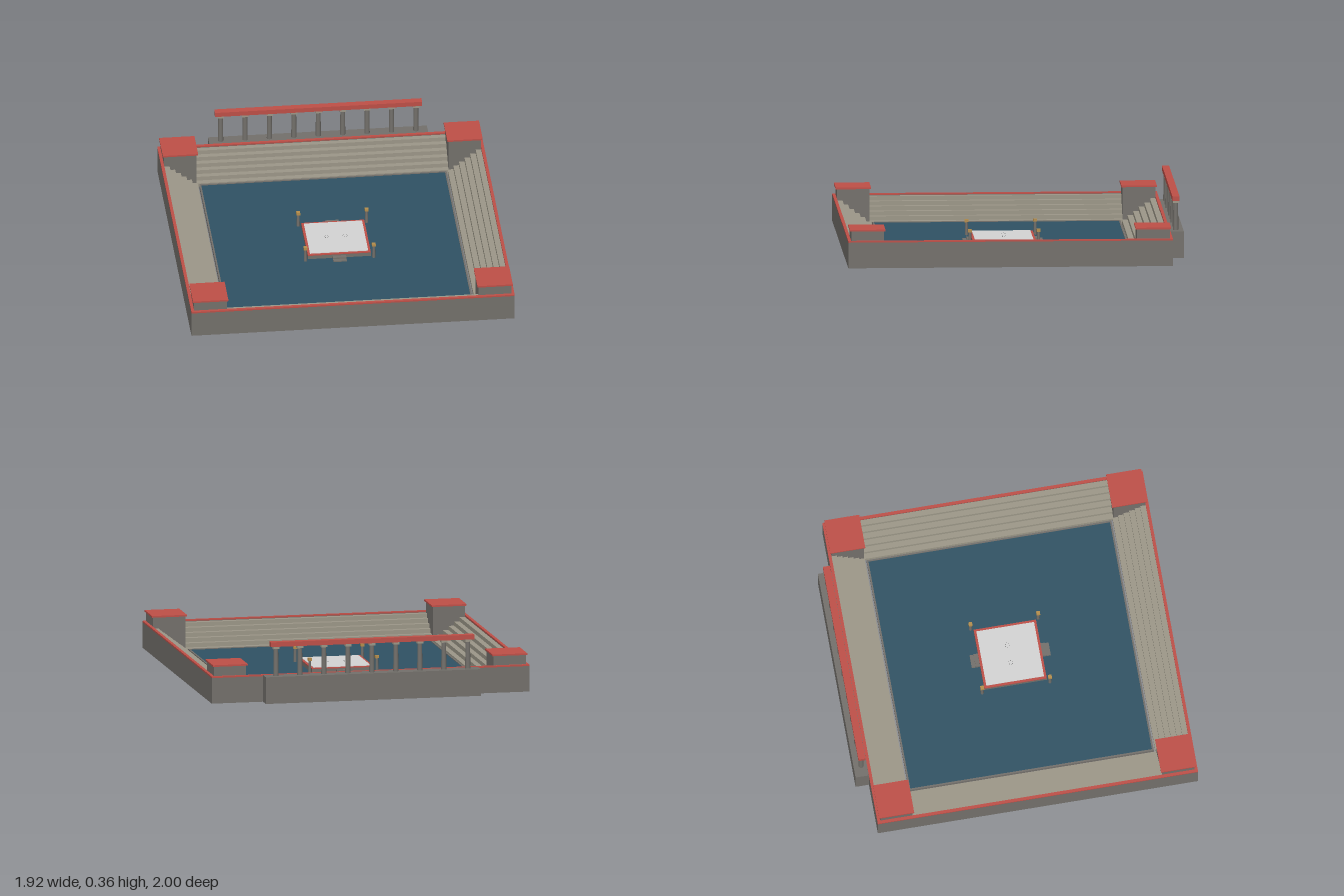
import * as THREE from 'three';

const mat = (name, color) => {
  const m = new THREE.MeshStandardMaterial({ color });
  m.name = name;
  return m;
};

export function createModel() {
  const stone = mat('grey stone', 0x73706b);
  const seat = mat('seat stone', 0x9c9788);
  const red = mat('red trim', 0xbe4f47);
  const water = mat('blue floor', 0x2f5264);
  const white = mat('white tiles', 0xd4d4d4);
  const gold = mat('gold', 0xb58e4c);
  const dark = mat('dark marks', 0x4a4a4a);

  const model = new THREE.Group();
  model.name = 'arena';

  // Box given by its minimum and maximum corners
  const box = (parent, name, m, x0, x1, y0, y1, z0, z1) => {
    const mesh = new THREE.Mesh(new THREE.BoxGeometry(x1 - x0, y1 - y0, z1 - z0), m);
    mesh.position.set((x0 + x1) / 2, (y0 + y1) / 2, (z0 + z1) / 2);
    mesh.name = name;
    parent.add(mesh);
    return mesh;
  };
  const cylinder = (parent, name, m, rTop, rBottom, y0, y1, x, z, sides) => {
    const mesh = new THREE.Mesh(new THREE.CylinderGeometry(rTop, rBottom, y1 - y0, sides), m);
    mesh.position.set(x, (y0 + y1) / 2, z);
    mesh.name = name;
    parent.add(mesh);
    return mesh;
  };

  // The square bowl sits slightly forward of the colonnade
  const bowl = new THREE.Group();
  bowl.name = 'bowl';
  bowl.position.z = 0.04;
  model.add(bowl);

  box(bowl, 'floor', water, -0.725, 0.725, 0.001, 0.02, -0.725, 0.725);

  // Four equal sides: stepped seats, outer wall, trim, floor kerb, corner tower
  const tiers = 6, inner = 0.743, outer = 0.942, depth = (outer - inner) / tiers;
  for (let k = 0; k < 4; k++) {
    const side = new THREE.Group();
    side.name = 'side';
    side.rotation.y = k * Math.PI / 2;
    bowl.add(side);
    for (let i = 0; i < tiers; i++) {
      const z = inner + i * depth;
      box(side, 'seatTier', seat, -0.75, 0.75, 0, 0.025 * (i + 1), z, z + depth);
    }
    box(side, 'outerWall', stone, -0.96, 0.942, 0, 0.153, outer, 0.96);
    box(side, 'wallTrim', red, -0.96, 0.942, 0.153, 0.162, outer, 0.96);
    box(side, 'floorKerb', stone, -0.734, 0.724, 0.001, 0.024, 0.724, 0.734);
    box(side, 'cornerTower', stone, 0.748, 0.942, 0, 0.218, 0.748, 0.942);
    box(side, 'towerRoof', red, 0.74, 0.95, 0.218, 0.228, 0.74, 0.95);
  }

  // Central platform with red border, white top, steps front and back
  const platform = new THREE.Group();
  platform.name = 'platform';
  bowl.add(platform);
  box(platform, 'platformBase', stone, -0.187, 0.187, 0, 0.042, -0.187, 0.187);
  box(platform, 'platformBorder', red, -0.187, 0.187, 0.042, 0.048, -0.187, 0.187);
  box(platform, 'platformTop', white, -0.173, 0.173, 0.046, 0.051, -0.173, 0.173);
  for (const s of [-1, 1]) {
    const steps = new THREE.Group();
    steps.name = 'steps';
    steps.rotation.y = s > 0 ? 0 : Math.PI;
    platform.add(steps);
    box(steps, 'upperStep', stone, -0.04, 0.04, 0, 0.035, 0.187, 0.213);
    box(steps, 'lowerStep', stone, -0.04, 0.04, 0, 0.027, 0.213, 0.237);

    // Small floor marks
    for (let i = 0; i < 6; i++) {
      const a = i * Math.PI / 3;
      cylinder(platform, 'floorMark', dark, 0.002, 0.002, 0.05, 0.052,
        s * 0.056 + 0.014 * Math.cos(a), -0.007 + 0.012 * Math.sin(a), 6);
    }

    // Corner posts with gold heads
    for (const t of [-1, 1]) {
      cylinder(platform, 'post', stone, 0.008, 0.01, 0.015, 0.098, s * 0.203, t * 0.203, 8);
      box(platform, 'postHead', gold, s * 0.203 - 0.011, s * 0.203 + 0.011, 0.098, 0.114,
        t * 0.203 - 0.011, t * 0.203 + 0.011);
    }
  }

  // Colonnade on a raised plinth behind the bowl
  const colonnade = new THREE.Group();
  colonnade.name = 'colonnade';
  model.add(colonnade);
  box(colonnade, 'plinth', stone, -0.65, 0.65, 0, 0.16, -1, -0.92);
  for (let i = 0; i < 9; i++) {
    const x = (i - 4) * 0.145;
    cylinder(colonnade, 'column', stone, 0.014, 0.016, 0.16, 0.322, x, -0.955, 12);
    box(colonnade, 'capital', seat, x - 0.019, x + 0.019, 0.322, 0.336, -0.973, -0.937);
  }
  box(colonnade, 'beam', red, -0.615, 0.615, 0.336, 0.364, -0.976, -0.934);

  return model;
}
